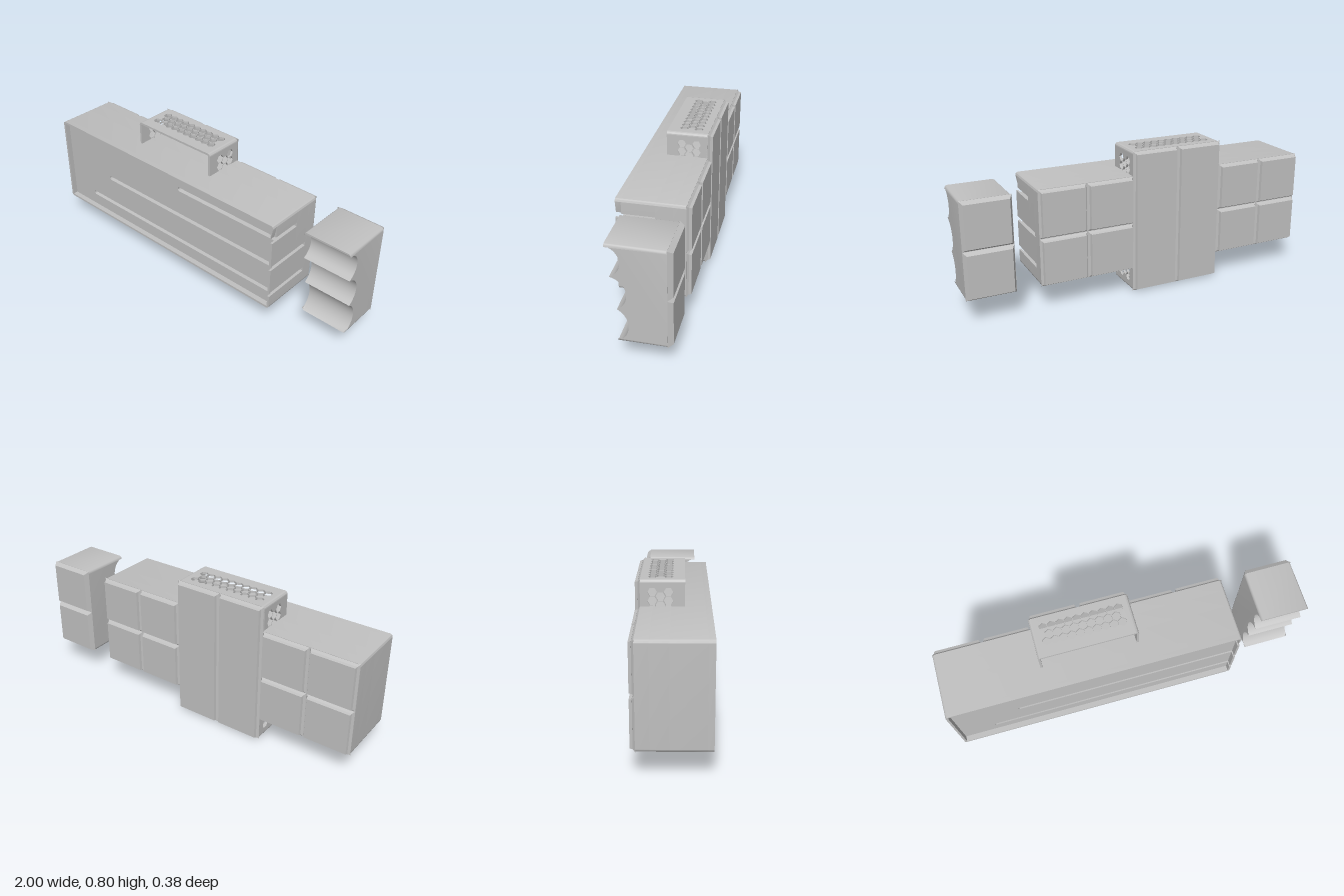
import * as THREE from 'three';
import { toCreasedNormals } from 'three/addons/utils/BufferGeometryUtils.js';

const grey = new THREE.MeshStandardMaterial({ color: 0xc0c0c0 });
grey.name = 'plain grey';

const BOTTOM = 0.135, TOP = 0.665, MID = 0.4, LEFT = -1, RIGHT = 0.6;
const BACK = -0.165, FACE = 0.16, FRONT = 0.19, R = 0.016, WALL = 0.012;
const COL = (RIGHT - LEFT) / 6;
const CLIP0 = LEFT + 2 * COL, CLIP1 = LEFT + 4 * COL, CLIP_FRONT = 0.058;
const slots = [
  { y: 0.228, x: -0.793, floor: -0.1 },
  { y: 0.401, x: -0.633, floor: -0.1 },
  { y: 0.573, x: -0.063, floor: -0.01 },
];
const HALF = 0.012;

function add(group, name, geometry) {
  const mesh = new THREE.Mesh(geometry, grey);
  mesh.name = name;
  group.add(mesh);
  return mesh;
}

function extrude(shape, depth, steps = 1) {
  return new THREE.ExtrudeGeometry(shape, { depth, steps, bevelEnabled: false, curveSegments: 10 });
}

const smooth = (geometry) => toCreasedNormals(geometry, 0.6);

// Rounded rectangle, with optional slots cut in from its right edge
function roundedShape(x0, x1, y0, y1, r, cuts = []) {
  const s = new THREE.Shape();
  s.moveTo(x0 + r, y0);
  s.lineTo(x1 - r, y0);
  s.absarc(x1 - r, y0 + r, r, -Math.PI / 2, 0, false);
  for (const c of cuts) {
    s.lineTo(x1, c.y - HALF);
    s.lineTo(c.x, c.y - HALF);
    s.absarc(c.x, c.y, HALF, -Math.PI / 2, Math.PI / 2, true);
    s.lineTo(x1, c.y + HALF);
  }
  s.absarc(x1 - r, y1 - r, r, 0, Math.PI / 2, false);
  s.absarc(x0 + r, y1 - r, r, Math.PI / 2, Math.PI, false);
  s.absarc(x0 + r, y0 + r, r, Math.PI, Math.PI * 1.5, false);
  return s;
}

function rect(x0, x1, y0, y1) {
  return new THREE.Shape([[x0, y0], [x1, y0], [x1, y1], [x0, y1]].map((p) => new THREE.Vector2(...p)));
}

// Block whose back face (-z) is drawn in on all sides
function taper(x0, x1, y0, y1, zFront, zBack, inset) {
  const w = x1 - x0, h = y1 - y0, g = new THREE.BoxGeometry(w, h, zFront - zBack);
  const p = g.attributes.position;
  for (let i = 0; i < p.count; i++) {
    if (p.getZ(i) < 0) p.setXY(i, p.getX(i) * (1 - 2 * inset / w), p.getY(i) * (1 - 2 * inset / h));
  }
  g.translate((x0 + x1) / 2, (y0 + y1) / 2, (zFront + zBack) / 2);
  g.computeVertexNormals();
  return g;
}

// Chamfered tile with a raised panel on it
function backTile(group, x0, x1, y0, y1) {
  add(group, 'tileBase', taper(x0, x1, y0, y1, BACK + 0.002, -0.177, 0.014));
  const i = 0.011;
  add(group, 'tilePanel', taper(x0 + i, x1 - i, y0 + i, y1 - i, -0.176, -0.19, 0.004));
}

function makeBody() {
  const g = new THREE.Group();
  g.name = 'mainBody';
  // Three layers, each cut by the slots that reach it
  const levels = [BACK, -0.1, -0.01, FACE];
  for (let i = 0; i < 3; i++) {
    const cuts = slots.filter((s) => s.floor <= levels[i] + 0.001 && i > 0);
    const geo = extrude(roundedShape(LEFT, RIGHT, BOTTOM, TOP, R, cuts), levels[i + 1] - levels[i]);
    add(g, 'bodyLayer', smooth(geo.translate(0, 0, levels[i])));
  }
  // Raised rim round the front, interrupted by the slots
  const lo = slots[0].y - HALF, hi = slots[2].y + HALF, r = R, t = WALL;
  const rim = new THREE.Shape();
  rim.moveTo(RIGHT, hi);
  rim.absarc(RIGHT - r, TOP - r, r, 0, Math.PI / 2, false);
  rim.absarc(LEFT + r, TOP - r, r, Math.PI / 2, Math.PI, false);
  rim.absarc(LEFT + r, BOTTOM + r, r, Math.PI, Math.PI * 1.5, false);
  rim.absarc(RIGHT - r, BOTTOM + r, r, -Math.PI / 2, 0, false);
  for (const [x, y] of [[RIGHT, lo], [RIGHT - t, lo], [RIGHT - t, BOTTOM + t], [LEFT + t, BOTTOM + t],
    [LEFT + t, TOP - t], [RIGHT - t, TOP - t], [RIGHT - t, hi]]) rim.lineTo(x, y);
  rim.closePath();
  const pieces = [rim];
  for (let i = 0; i < 2; i++) pieces.push(rect(RIGHT - t, RIGHT, slots[i].y + HALF, slots[i + 1].y - HALF));
  for (const s of pieces) add(g, 'frontRim', smooth(extrude(s, FRONT - FACE).translate(0, 0, FACE)));
  // Back tiles on either side of the clip
  for (const c of [0, 1, 4, 5]) {
    for (const [y0, y1] of [[BOTTOM, MID], [MID, TOP]]) backTile(g, LEFT + c * COL, LEFT + (c + 1) * COL, y0, y1);
  }
  return g;
}

function hexHole(cx, cy, r, turn) {
  const pts = [];
  for (let i = 0; i < 6; i++) {
    const a = turn - i * Math.PI / 3;
    pts.push(new THREE.Vector2(cx + r * Math.cos(a), cy + r * Math.sin(a)));
  }
  return new THREE.Path(pts);
}

function makeClip() {
  const g = new THREE.Group();
  g.name = 'clip';
  const H = 0.8, HEX = 0.0245, PITCH = 0.0447, rows = [-0.024, -0.064, -0.104];
  const depth = CLIP_FRONT - BACK;
  // Side walls with hexagonal holes at both ends
  const side = rect(-CLIP_FRONT, -BACK, R, H - R);
  rows.forEach((z, i) => {
    const first = i === 1 ? 0.7145 : 0.737;
    for (let k = 0; k < (i === 1 ? 2 : 3); k++) {
      const y = first - k * PITCH;
      side.holes.push(hexHole(-z, y, HEX, 0), hexHole(-z, H - y, HEX, 0));
    }
  });
  for (const x of [CLIP0, CLIP1 - WALL]) {
    add(g, 'sideWall', extrude(side, WALL).rotateY(Math.PI / 2).translate(x, 0, 0));
  }
  // Top and bottom walls with three rows of hexagonal holes
  const flat = rect(CLIP0 + R, CLIP1 - R, BACK, CLIP_FRONT);
  rows.forEach((z, i) => {
    const n = i === 1 ? 9 : 10;
    for (let k = 0; k < n; k++) {
      flat.holes.push(hexHole((CLIP0 + CLIP1) / 2 + (k - (n - 1) / 2) * PITCH, z, HEX, Math.PI / 6));
    }
  });
  for (const y of [H, WALL]) add(g, 'endWall', extrude(flat, WALL).rotateX(Math.PI / 2).translate(0, y, 0));
  // Rounded corners
  for (const [x, y, a] of [[CLIP1 - R, H - R, 0], [CLIP0 + R, H - R, 1], [CLIP0 + R, R, 2], [CLIP1 - R, R, 3]]) {
    const s = new THREE.Shape(), a0 = a * Math.PI / 2, a1 = a0 + Math.PI / 2;
    s.absarc(0, 0, R, a0, a1, false);
    s.absarc(0, 0, R - WALL, a1, a0, true);
    s.closePath();
    add(g, 'corner', smooth(extrude(s, depth).translate(x, y, BACK)));
  }
  // Back plate and its two tall tiles
  add(g, 'backPlate', smooth(extrude(roundedShape(CLIP0, CLIP1, 0, H, R), 0.01).translate(0, 0, BACK)));
  for (const x of [CLIP0, CLIP0 + COL]) backTile(g, x, x + COL, 0, H);
  return g;
}

// Points of the circle arc through three points, given as [z, y]
function arcThrough([ax, ay], [bx, by], [cx, cy], n = 20) {
  const d = 2 * (ax * (by - cy) + bx * (cy - ay) + cx * (ay - by));
  const A = ax * ax + ay * ay, B = bx * bx + by * by, C = cx * cx + cy * cy;
  const ox = (A * (by - cy) + B * (cy - ay) + C * (ay - by)) / d;
  const oy = (A * (cx - bx) + B * (ax - cx) + C * (bx - ax)) / d;
  const r = Math.hypot(ax - ox, ay - oy);
  const norm = (a) => (a + Math.PI * 2) % (Math.PI * 2);
  const a0 = norm(Math.atan2(ay - oy, ax - ox)), a1 = norm(Math.atan2(cy - oy, cx - ox));
  return Array.from({ length: n + 1 }, (_, i) => {
    const a = a0 + (a1 - a0) * i / n;
    return [ox + r * Math.cos(a), oy + r * Math.sin(a)];
  });
}

function makeGrip() {
  const g = new THREE.Group();
  g.name = 'fingerGrip';
  const x0 = 0.733, w = COL;
  // Side profile with three finger hollows
  const profile = [
    [BACK, BOTTOM], [BACK, TOP], [0.121, TOP],
    ...arcThrough([0.121, 0.656], [0.051, 0.575], [0.102, 0.495]),
    ...arcThrough([0.102, 0.495], [0.025, 0.4], [0.072, 0.32]).slice(1),
    ...arcThrough([0.072, 0.32], [0.019, 0.225], [0.075, BOTTOM]).slice(1),
  ];
  const shape = new THREE.Shape(profile.map(([z, y]) => new THREE.Vector2(-z, y)));
  // Round the long top and bottom edges by lowering the outer sections
  const insets = [0, 0.002, 0.006, 0.011, R];
  const geo = extrude(shape, 9, 9).rotateY(Math.PI / 2), p = geo.attributes.position;
  const half = (TOP - BOTTOM) / 2;
  for (let i = 0; i < p.count; i++) {
    const k = Math.round(p.getX(i)), e = insets[Math.min(k, 9 - k)];
    const limit = half - R + Math.sqrt(R * R - (R - e) ** 2);
    p.setX(i, k < 5 ? x0 + e : x0 + w - e);
    p.setY(i, MID + Math.max(-limit, Math.min(limit, p.getY(i) - MID)));
  }
  add(g, 'gripBlock', smooth(geo));
  for (const [y0, y1] of [[BOTTOM, MID], [MID, TOP]]) {
    add(g, 'gripTile', taper(x0, x0 + w, y0, y1, BACK + 0.002, -0.19, 0.016));
  }
  return g;
}

export function createModel() {
  const model = new THREE.Group();
  model.name = 'slottedHolder';
  model.add(makeBody(), makeClip(), makeGrip());
  return model;
}
